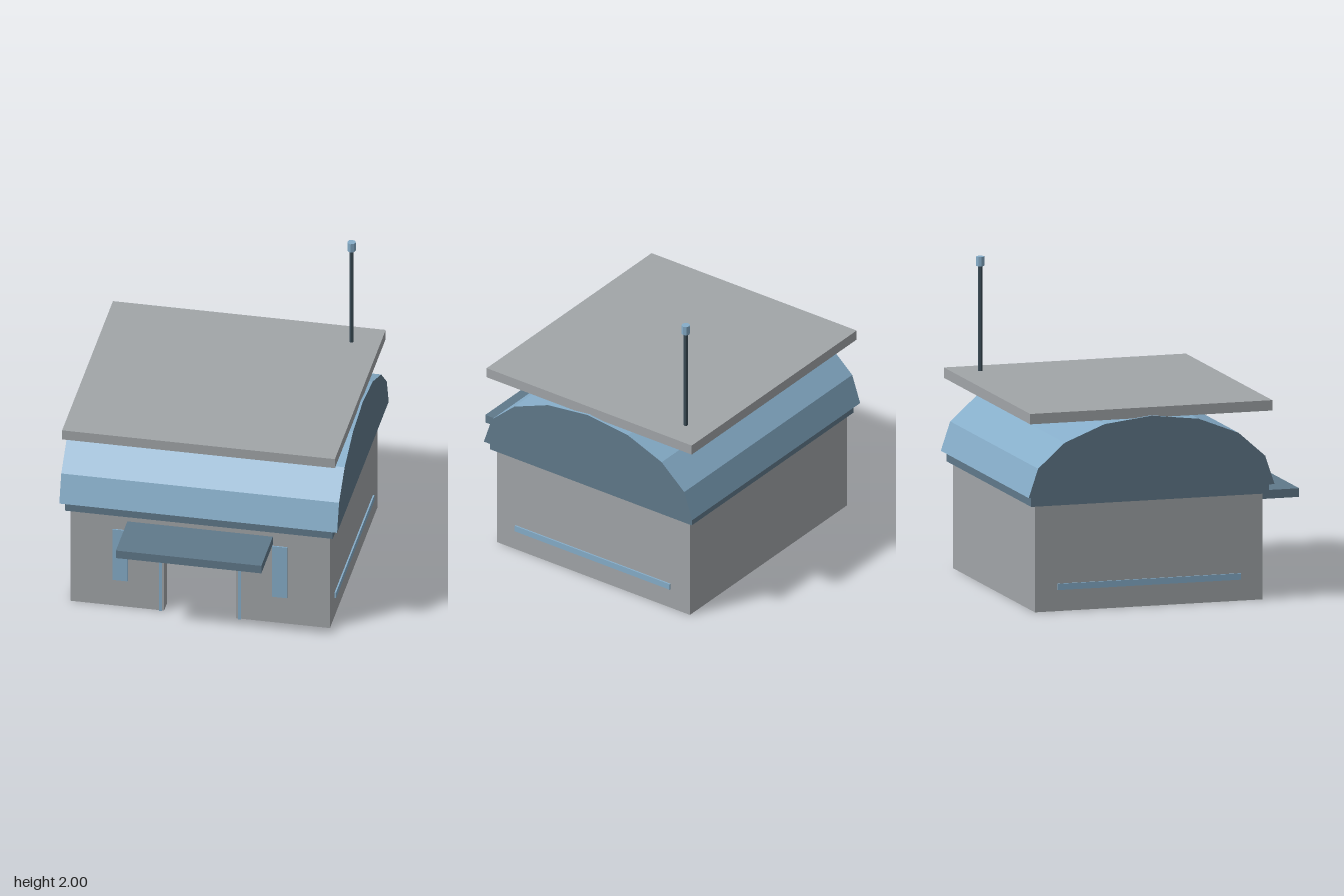
import * as THREE from 'three';

const material = (name, color) => new THREE.MeshStandardMaterial({ name, color, flatShading: true, side: THREE.DoubleSide });

export function createModel() {
  const model = new THREE.Group();
  model.name = 'hut';
  const wallGrey = material('wall grey', 0xa1a5a8);
  const lightBlue = material('light blue', 0x86adc9);
  const slateBlue = material('slate blue', 0x60798a);
  const poleDark = material('dark pole', 0x3a4b55);

  const add = (name, geometry, mat, x = 0, y = 0, z = 0) => {
    const mesh = new THREE.Mesh(geometry, mat);
    mesh.name = name;
    mesh.position.set(x, y, z);
    model.add(mesh);
    return mesh;
  };
  // Box given by its limits on each axis
  const box = (name, mat, x0, x1, y0, y1, z0, z1) =>
    add(name, new THREE.BoxGeometry(x1 - x0, y1 - y0, z1 - z0), mat, (x0 + x1) / 2, (y0 + y1) / 2, (z0 + z1) / 2);
  // Upright panel with a doorway cut from its foot
  const arch = (name, mat, outerX, outerY, innerX, innerY, z, depth) => {
    const shape = new THREE.Shape([
      [-outerX, 0], [-innerX, 0], [-innerX, innerY], [innerX, innerY],
      [innerX, 0], [outerX, 0], [outerX, outerY], [-outerX, outerY],
    ].map(([x, y]) => new THREE.Vector2(x, y)));
    return add(name, new THREE.ExtrudeGeometry(shape, { depth, bevelEnabled: false }), mat, 0, 0, z);
  };

  // Hollow walls, open underneath
  const W = 0.83, T = 0.085, H = 0.68, BACK = -0.9, FRONT = 0.6;
  arch('frontWall', wallGrey, W - T, H, 0.23, 0.5, FRONT - T, T);
  box('backWall', wallGrey, T - W, W - T, 0, H, BACK, BACK + T);
  for (const [side, s] of [['left', 1], ['right', -1]]) {
    const wallX = s * (W - T / 2);
    box(side + 'Wall', wallGrey, wallX - T / 2, wallX + T / 2, 0, H, BACK, FRONT);
    box(side + 'Rail', lightBlue, s * 0.832 - 0.008, s * 0.832 + 0.008, 0.135, 0.175, -0.75, 0.455);
    box(side + 'FrontPanel', lightBlue, s * 0.51 - 0.048, s * 0.51 + 0.048, 0.19, 0.56, FRONT, FRONT + 0.008);
  }

  // Doorway trim and canopy
  arch('doorFrame', lightBlue, 0.262, 0.53, 0.243, 0.51, FRONT, 0.01);
  box('canopy', slateBlue, -0.465, 0.465, 0.57, 0.625, FRONT, 0.96);

  // Eaves band, also the ceiling
  box('eavesBand', slateBlue, -0.855, 0.855, 0.677, 0.738, -0.933, 0.635);

  // Faceted vault with flat ends
  const vault = new THREE.CylinderGeometry(1, 1, 1.776, 8, 1, true, 0, Math.PI);
  vault.rotateZ(Math.PI / 2).scale(1, 0.48, 0.81);
  add('vault', vault, lightBlue, 0, 0.74, -0.15);
  for (const [side, s] of [['left', 1], ['right', -1]]) {
    const end = new THREE.CircleGeometry(1, 8, 0, Math.PI);
    end.scale(0.81, 0.48, 1).rotateY(s * Math.PI / 2);
    add(side + 'VaultEnd', end, slateBlue, s * 0.888, 0.74, -0.15);
  }

  // Flat roof slab and mast
  box('roofSlab', wallGrey, -0.872, 0.872, 1.206, 1.272, -0.945, 0.65);
  add('mast', new THREE.CylinderGeometry(0.014, 0.014, 0.76, 8), poleDark, 0.69, 1.57, -0.765);
  add('mastTip', new THREE.CylinderGeometry(0.027, 0.027, 0.06, 8), lightBlue, 0.69, 1.97, -0.765);

  return model;
}
